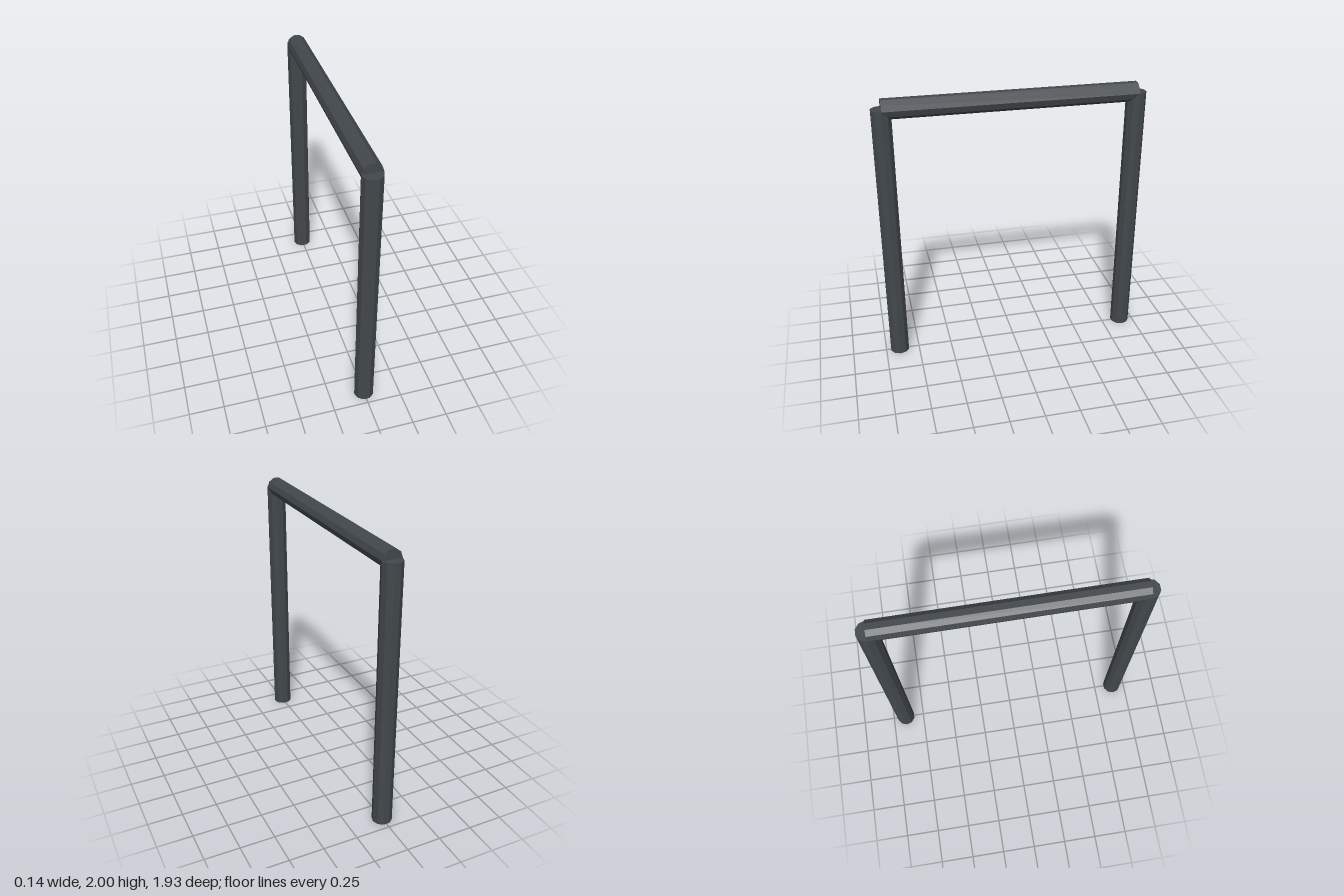
import * as THREE from 'three';

const RADIUS = 0.071;
const SIDES = 10;
const AXIS_Y = 1.932; // height of the crossbar's axis and of the post tops
const POST_Z = 0.897;

export function createModel() {
  const group = new THREE.Group();
  group.name = 'barrierFrame';

  const darkSteel = new THREE.MeshStandardMaterial({ color: 0x42484c });
  darkSteel.name = 'darkSteel';

  // Ten-sided tube with corners at +x and -x, flat faces toward +z and -z
  const addTube = (name, length) => {
    const geometry = new THREE.CylinderGeometry(RADIUS, RADIUS, length, SIDES, 1, false, Math.PI / 2)
      .toNonIndexed();
    geometry.computeVertexNormals();
    const mesh = new THREE.Mesh(geometry, darkSteel);
    mesh.name = name;
    group.add(mesh);
    return mesh;
  };

  // Upright posts at front and back
  for (const [name, side] of [['frontPost', 1], ['backPost', -1]]) {
    addTube(name, AXIS_Y).position.set(0, AXIS_Y / 2, side * POST_Z);
  }

  // Crossbar resting in the post tops
  const bar = addTube('crossbar', POST_Z * 2);
  bar.rotation.x = Math.PI / 2;
  bar.position.y = AXIS_Y;

  return group;
}
